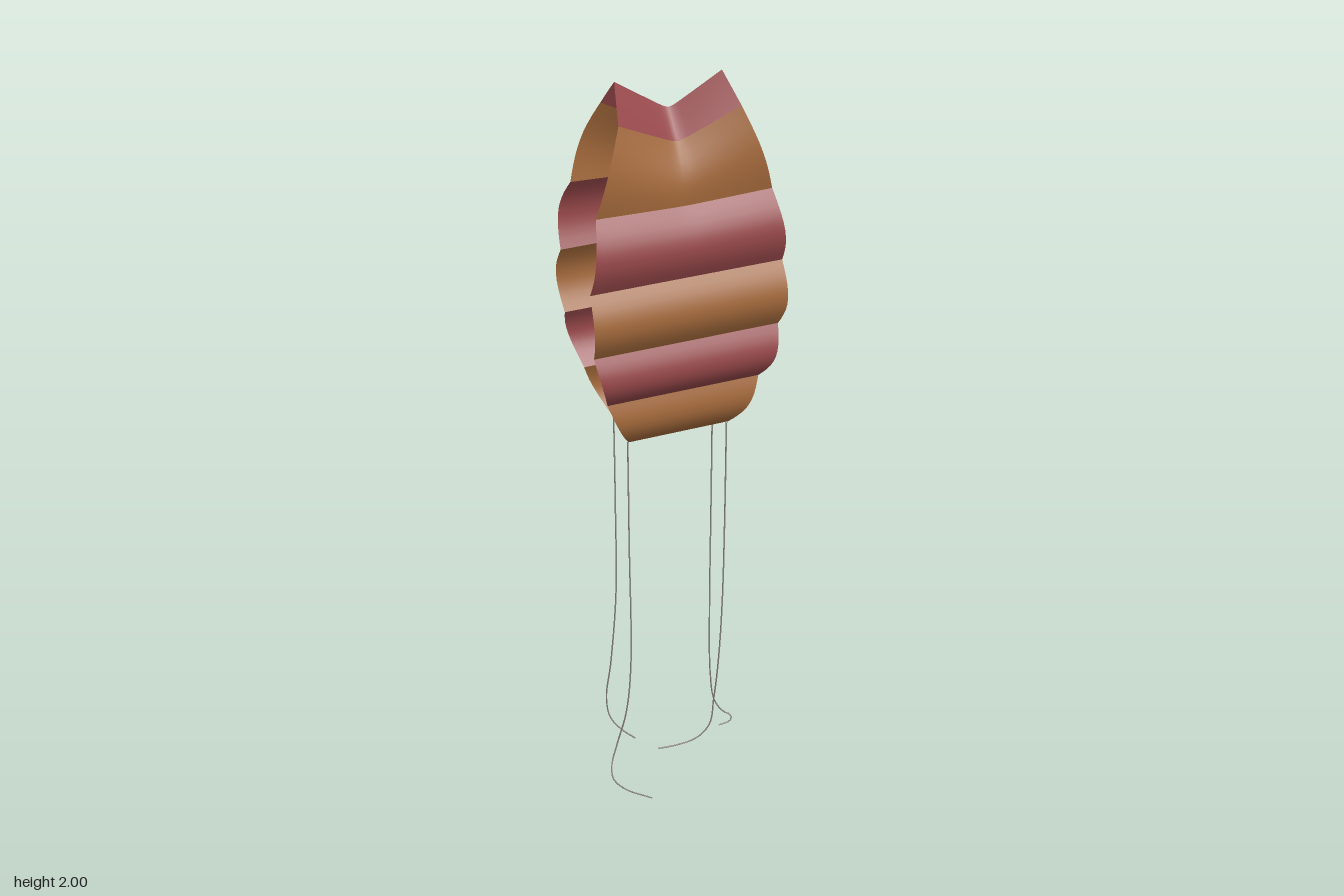
import * as THREE from 'three';

const material = (name, color, extra = {}) => {
  const m = new THREE.MeshStandardMaterial({ color, ...extra });
  m.name = name;
  return m;
};

// Seams between stripes: height, distance from the middle, half length, sag at the centre
const seams = [
  { y: 1.10, u: 0.054, w: 0.127, sag: 0 },
  { y: 1.24, u: 0.086, w: 0.188, sag: 0 },
  { y: 1.39, u: 0.107, w: 0.225, sag: 0 },
  { y: 1.56, u: 0.107, w: 0.230, sag: 0 },
  { y: 1.74, u: 0.090, w: 0.207, sag: 0.008 },
  { y: 1.94, u: 0.060, w: 0.142, sag: 0.075 },
  { y: 2.00, u: 0.000, w: 0.120, sag: 0.080 },
];
// How far each stripe puffs outward between its seams
const puffs = [0.027, 0.036, 0.036, 0.036, 0.02, 0];

// One puffed stripe of cloth; side is +1 or -1
function stripeGeometry(i, side) {
  const a = seams[i], b = seams[i + 1], rows = 10, cols = 24;
  const position = [], index = [];
  for (let r = 0; r <= rows; r++) {
    const t = r / rows, bulge = Math.sin(Math.PI * t);
    const mix = (key) => THREE.MathUtils.lerp(a[key], b[key], t);
    const ridge = i === 5 ? t : 0; // both panels meet along one slightly skewed ridge
    for (let c = 0; c <= cols; c++) {
      const s = (c / cols) * 2 - 1;
      const fold = 1 - Math.sqrt(s * s + 0.004) / Math.sqrt(1.004);
      const w = s * (mix('w') + (i < 5 ? 0.005 * bulge : 0));
      const pinch = 1 - 0.35 * (mix('sag') / 0.08) * fold;
      const u = side * (mix('u') + puffs[i] * bulge) * pinch + ridge * (0.1 * w - 0.017);
      position.push(u, mix('y') - mix('sag') * fold, -w);
    }
  }
  const n = cols + 1;
  for (let r = 0; r < rows; r++) {
    for (let c = 0; c < cols; c++) {
      const p = r * n + c;
      if (side > 0) index.push(p, p + 1, p + n, p + 1, p + n + 1, p + n);
      else index.push(p, p + n, p + 1, p + 1, p + n, p + n + 1);
    }
  }
  const g = new THREE.BufferGeometry();
  g.setAttribute('position', new THREE.Float32BufferAttribute(position, 3));
  g.setIndex(index);
  g.computeVertexNormals();
  return g;
}

// Loose lower ends of the cords, each starting at its hanging point
const cords = {
  frontRightCord: [[-0.1, 1.1, 0.096], [-0.1, 0.85, 0.096], [-0.104, 0.55, 0.096], [-0.13, 0.3, 0.096],
    [-0.16, 0.14, 0.09], [-0.165, 0.05, 0.07], [-0.14, 0.012, 0.05], [-0.1, 0.006, 0.04]],
  frontLeftCord: [[0, 1.1, 0.137], [0, 0.8, 0.137], [0, 0.4, 0.137], [-0.02, 0.22, 0.138],
    [-0.052, 0.08, 0.147], [-0.05, 0.025, 0.166], [-0.02, 0.008, 0.187], [0.03, 0.005, 0.186], [0.1, 0.005, 0.155]],
  backRightCord: [[0, 1.1, -0.135], [0, 0.8, -0.135], [0, 0.4, -0.135], [-0.005, 0.2, -0.145],
    [-0.018, 0.07, -0.175], [-0.012, 0.015, -0.205], [0.004, 0.006, -0.217], [0.018, 0.005, -0.2], [0.01, 0.005, -0.165]],
  backLeftCord: [[0.096, 1.1, -0.093], [0.096, 0.8, -0.093], [0.094, 0.55, -0.092], [0.075, 0.33, -0.1],
    [0.045, 0.16, -0.113], [0.028, 0.05, -0.112], [0.015, 0.015, -0.08], [-0.005, 0.006, -0.03], [-0.03, 0.005, 0.02]],
};

export function createModel() {
  const model = new THREE.Group();
  model.name = 'stripedHangingPouch';
  const brown = material('brown cloth', 0xa0673a, { side: THREE.DoubleSide });
  const red = material('dull red cloth', 0x944648, { side: THREE.DoubleSide });
  const cordGrey = material('cord grey', 0x8f8a84);

  // Two puffed panels, turned a little about the upright axis
  const pouch = new THREE.Group();
  pouch.name = 'pouch';
  pouch.rotation.y = -0.3725;
  for (const side of [-1, 1]) {
    const panel = new THREE.Group();
    panel.name = side > 0 ? 'leftPanel' : 'rightPanel';
    puffs.forEach((_, i) => {
      const stripe = new THREE.Mesh(stripeGeometry(i, side), i % 2 ? red : brown);
      stripe.name = i === 5 ? 'topFold' : `stripe${i + 1}`;
      panel.add(stripe);
    });
    pouch.add(panel);
  }
  model.add(pouch);

  // Thin cords hanging from the four lower corners
  for (const [name, points] of Object.entries(cords)) {
    const path = new THREE.CatmullRomCurve3(points.map((p) => new THREE.Vector3(...p)));
    const cord = new THREE.Mesh(new THREE.TubeGeometry(path, 90, 0.002, 6), cordGrey);
    cord.name = name;
    model.add(cord);
  }
  return model;
}
